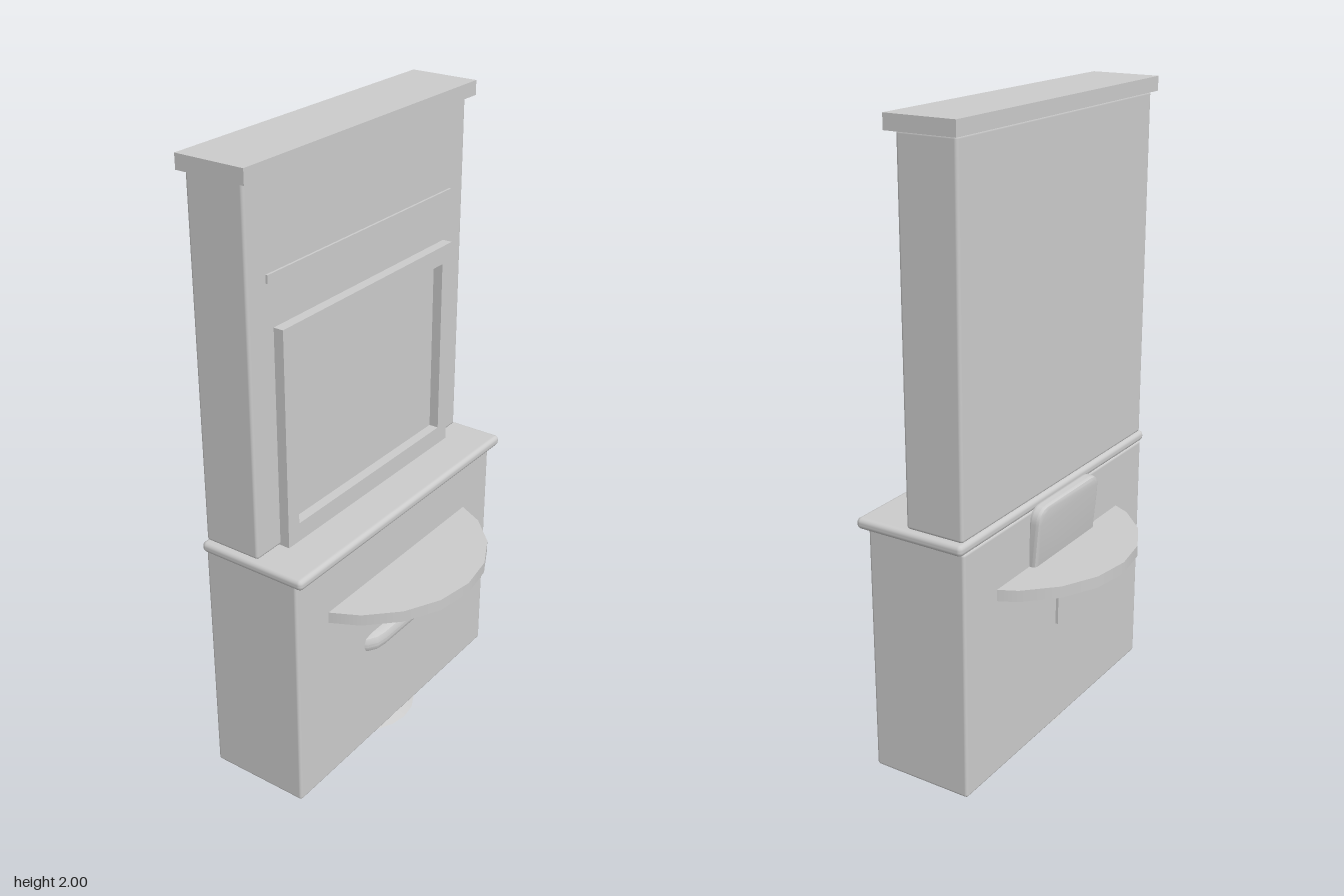
import * as THREE from 'three';
import { RoundedBoxGeometry } from 'three/addons/geometries/RoundedBoxGeometry.js';
import { toCreasedNormals } from 'three/addons/utils/BufferGeometryUtils.js';

const grey = new THREE.MeshStandardMaterial({ color: 0xcccccc });

export function createModel() {
  const model = new THREE.Group();

  const add = (name, geometry, x = 0, y = 0, z = 0) => {
    const mesh = new THREE.Mesh(geometry, grey);
    mesh.name = name;
    mesh.position.set(x, y, z);
    model.add(mesh);
    return mesh;
  };

  // box given by half width, y range and z range; bevel > 0 softens the edges
  const block = (name, hw, y0, y1, z0, z1, bevel = 0) => {
    const size = [2 * hw, y1 - y0, z1 - z0];
    const geometry = bevel
      ? new RoundedBoxGeometry(...size, 2, bevel)
      : new THREE.BoxGeometry(...size);
    return add(name, geometry, 0, (y0 + y1) / 2, (z0 + z1) / 2);
  };

  // cushion: rounded rectangle with bevelled rims, centred, thickness along z
  const cushion = (w, h, t, r, bevel) => {
    const a = w / 2 - bevel, b = h / 2 - bevel;
    const s = new THREE.Shape();
    s.moveTo(-a + r, -b);
    s.lineTo(a - r, -b).quadraticCurveTo(a, -b, a, -b + r);
    s.lineTo(a, b - r).quadraticCurveTo(a, b, a - r, b);
    s.lineTo(-a + r, b).quadraticCurveTo(-a, b, -a, b - r);
    s.lineTo(-a, -b + r).quadraticCurveTo(-a, -b, -a + r, -b);
    const g = new THREE.ExtrudeGeometry(s, {
      depth: t - 2 * bevel, bevelThickness: bevel, bevelSize: bevel,
      bevelSegments: 2, curveSegments: 4,
    });
    g.translate(0, 0, -t / 2 + bevel);
    return toCreasedNormals(g, 0.7);
  };

  // cabinet carcass
  block('lowerCabinet', 0.525, 0.003, 0.805, -0.183, 0.153, 0.01);
  block('counterLedge', 0.543, 0.8, 0.835, -0.185, 0.185, 0.015);
  block('upperCabinet', 0.525, 0.835, 1.957, -0.178, 0.015, 0.01);
  block('cornice', 0.545, 1.955, 2, -0.19, 0.038);
  block('trimStrip', 0.447, 1.66, 1.685, 0.005, 0.022);

  // raised frame around the recessed panel
  const frame = new THREE.Shape();
  frame.moveTo(-0.42, 0.835).lineTo(0.42, 0.835).lineTo(0.42, 1.525).lineTo(-0.42, 1.525).closePath();
  const opening = new THREE.Path();
  opening.moveTo(-0.37, 0.895).lineTo(-0.37, 1.467).lineTo(0.37, 1.467).lineTo(0.37, 0.895).closePath();
  frame.holes.push(opening);
  add('panelFrame', new THREE.ExtrudeGeometry(frame, { depth: 0.037, bevelEnabled: false }), 0, 0, 0.01);

  // round table top running through the cabinet
  add('tableTop', new THREE.CylinderGeometry(0.408, 0.408, 0.037, 20), 0, 0.607, 0);

  // chair: seat edge at the front, backrest and post at the rear, round foot
  const seat = add('chairSeat', cushion(0.42, 0.36, 0.06, 0.07, 0.025), 0, 0.39, 0.006);
  seat.rotation.x = -Math.PI / 2;
  const back = add('chairBack', cushion(0.36, 0.32, 0.04, 0.04, 0.012), 0, 0.658, -0.186);
  back.rotation.x = -0.09;
  block('chairPost', 0.022, 0.36, 0.62, -0.192, -0.165);
  add('chairFoot', new THREE.CylinderGeometry(0.09, 0.182, 0.03, 20), 0, 0.015, 0);

  return model;
}
